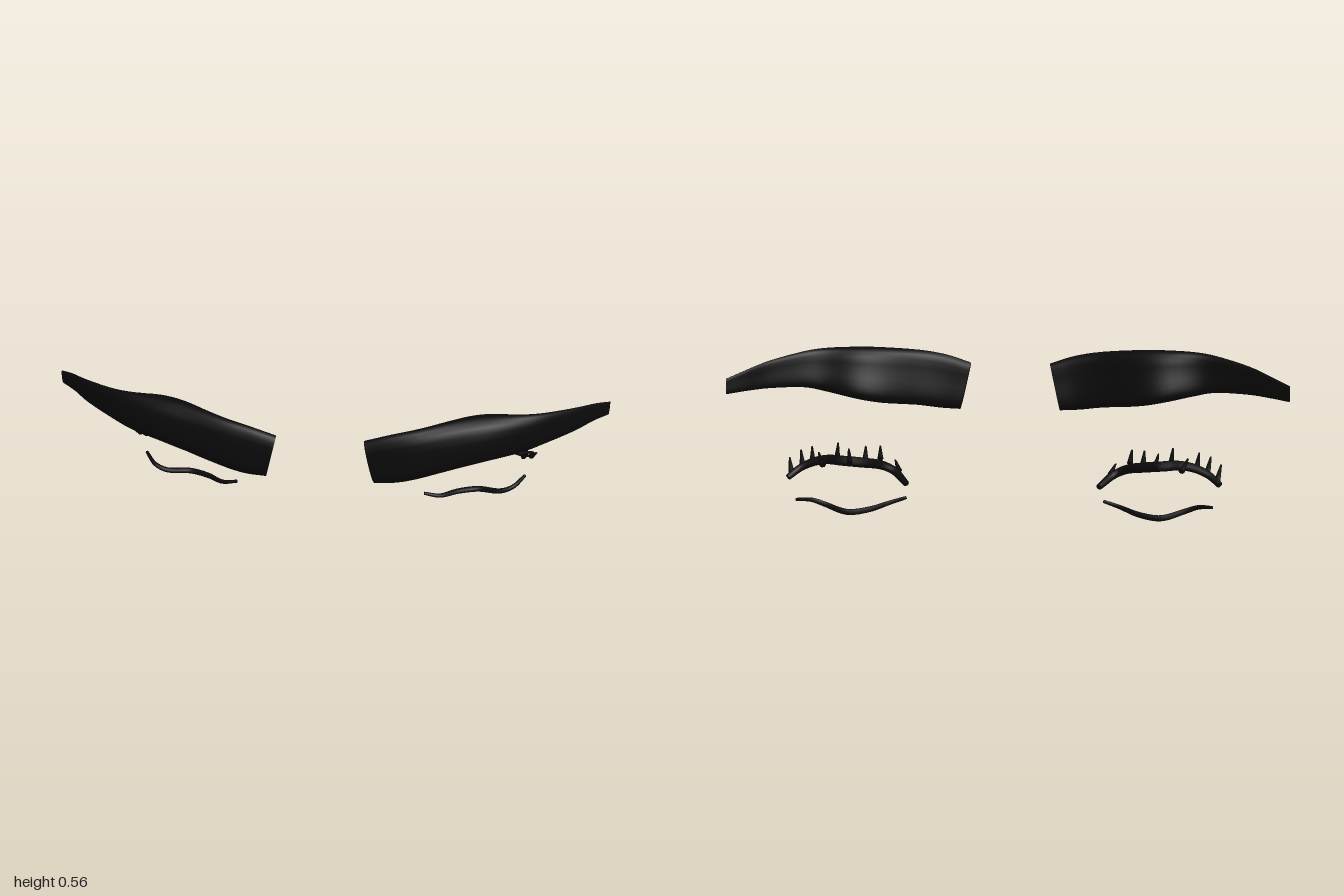
import * as THREE from 'three';

// Skin a list of equal-length rings of points, with flat end caps
function loft(rings) {
  const n = rings[0].length, last = rings.length - 1;
  const pos = [], idx = [];
  const add = (p) => pos.push(p.x, p.y, p.z) / 3 - 1;
  rings.forEach((ring) => ring.forEach(add));
  for (let i = 0; i < last; i++) {
    for (let j = 0; j < n; j++) {
      const a = i * n + j, b = i * n + ((j + 1) % n);
      idx.push(a, b, a + n, b, b + n, a + n);
    }
  }
  for (const end of [0, last]) {
    const ring = rings[end];
    const mid = ring.reduce((s, p) => s.add(p), new THREE.Vector3()).divideScalar(n);
    const c = add(mid), start = c + 1;
    ring.forEach(add);
    for (let j = 0; j < n; j++) {
      const a = start + j, b = start + ((j + 1) % n);
      if (end === 0) idx.push(c, b, a);
      else idx.push(c, a, b);
    }
  }
  // Signed volume tells whether the faces look outward
  const v = (i) => new THREE.Vector3().fromArray(pos, i * 3);
  let volume = 0;
  for (let i = 0; i < idx.length; i += 3) volume += v(idx[i]).dot(v(idx[i + 1]).cross(v(idx[i + 2])));
  if (volume < 0) idx.reverse();
  const g = new THREE.BufferGeometry();
  g.setAttribute('position', new THREE.Float32BufferAttribute(pos, 3));
  g.setIndex(idx);
  g.computeVertexNormals();
  return g;
}

// Round strand along a curve, with a radius that varies from 0 to 1 along it
function strand(points, radius, steps = 32, sides = 8) {
  const curve = new THREE.CatmullRomCurve3(points);
  const { normals, binormals } = curve.computeFrenetFrames(steps, false);
  const rings = [];
  for (let i = 0; i <= steps; i++) {
    const p = curve.getPointAt(i / steps), r = radius(i / steps);
    rings.push(Array.from({ length: sides }, (_, j) => {
      const a = (j / sides) * Math.PI * 2;
      return p.clone().addScaledVector(normals[i], r * Math.cos(a)).addScaledVector(binormals[i], r * Math.sin(a));
    }));
  }
  return loft(rings);
}

// Brow stations: x, top y, bottom y, front z, back z
const BROW = [
  [0.15, 0.485, 0.31, 0.277, 0.21], [0.24, 0.515, 0.315, 0.277, 0.205],
  [0.34, 0.535, 0.33, 0.27, 0.175], [0.476, 0.552, 0.35, 0.24, 0.10],
  [0.57, 0.557, 0.37, 0.215, 0.075], [0.68, 0.555, 0.395, 0.17, 0.09],
  [0.76, 0.547, 0.415, 0.125, 0.07], [0.87, 0.525, 0.425, 0.035, 0],
  [0.94, 0.502, 0.427, -0.04, -0.065], [0.998, 0.48, 0.425, -0.095, -0.115],
];
// Brow cross-section: u runs back to front, v runs bottom to top
const SECTION = [[0.6, 1], [0.9, 0.86], [1, 0.55], [0.95, 0.25], [0.65, 0.05],
  [0.2, 0], [0, 0.1], [0.02, 0.28], [0.18, 0.6], [0.3, 0.9]];

function browGeometry(side) {
  const spline = (k) => new THREE.CatmullRomCurve3(
    BROW.map((s) => new THREE.Vector3(s[0], s[k], s[k + 1])), false, 'catmullrom');
  const heights = spline(1), depths = spline(3);
  const outline = new THREE.CatmullRomCurve3(SECTION.map(([u, v]) => new THREE.Vector3(u, v, 0)), true)
    .getPoints(24).slice(0, 24);
  const rings = [], steps = 36;
  for (let i = 0; i <= steps; i++) {
    const t = i / steps, h = heights.getPoint(t), d = depths.getPoint(t);
    const slant = 0.04 * Math.max(0, 1 - t * 3);
    rings.push(outline.map((o) => new THREE.Vector3(
      side * (h.x + slant * (1 - o.y)),
      THREE.MathUtils.lerp(h.z, h.y, o.y),
      THREE.MathUtils.lerp(d.z, d.y, o.x))));
  }
  return loft(rings);
}

const UPPER_LID = [
  [0.34, 0.13, -0.2], [0.395, 0.158, -0.13], [0.435, 0.178, -0.135], [0.5, 0.203, -0.195],
  [0.565, 0.213, -0.213], [0.62, 0.21, -0.188], [0.67, 0.2, -0.182], [0.72, 0.178, -0.188], [0.757, 0.152, -0.225],
];
const LOWER_LID = [
  [0.358, 0.043, -0.079], [0.415, 0.027, -0.092], [0.485, 0.015, -0.145], [0.56, 0.012, -0.172],
  [0.645, 0.03, -0.143], [0.69, 0.048, -0.15], [0.735, 0.065, -0.205],
];
// Lashes: root, then tip
const LASHES = [
  [[0.38, 0.148, -0.1], [0.4, 0.178, -0.057]], [[0.45, 0.188, -0.085], [0.458, 0.224, -0.033]],
  [[0.495, 0.2, -0.14], [0.5, 0.238, -0.097]], [[0.53, 0.215, -0.252], [0.545, 0.249, -0.185]],
  [[0.59, 0.21, -0.175], [0.6, 0.249, -0.1]], [[0.62, 0.212, -0.276], [0.645, 0.244, -0.222]],
  [[0.68, 0.195, -0.17], [0.692, 0.238, -0.115]], [[0.718, 0.18, -0.165], [0.733, 0.225, -0.115]],
  [[0.75, 0.16, -0.2], [0.766, 0.207, -0.155]],
];

export function createModel() {
  const model = new THREE.Group();
  const black = new THREE.MeshStandardMaterial({ color: 0x0a0a0a });
  black.name = 'black';
  const add = (parent, name, geometry) => {
    const mesh = new THREE.Mesh(geometry, black);
    mesh.name = name;
    parent.add(mesh);
  };

  for (const side of [1, -1]) {
    const group = new THREE.Group();
    group.name = side > 0 ? 'leftEye' : 'rightEye';
    model.add(group);
    const place = (list) => list.map(([x, y, z]) => new THREE.Vector3(side * x, y, z));

    add(group, 'eyebrow', browGeometry(side));
    // Lash lines, the upper one thicker towards its middle
    add(group, 'upperLashLine', strand(place(UPPER_LID), (t) => 0.011 + 0.007 * Math.sin(Math.PI * t)));
    add(group, 'lowerLashLine', strand(place(LOWER_LID), (t) => 0.006 + 0.005 * Math.sin(Math.PI * t)));
    // Tapering lashes
    LASHES.forEach((pair) => add(group, 'lash', strand(place(pair), (t) => 0.011 - 0.008 * t, 2, 6)));
  }
  return model;
}
